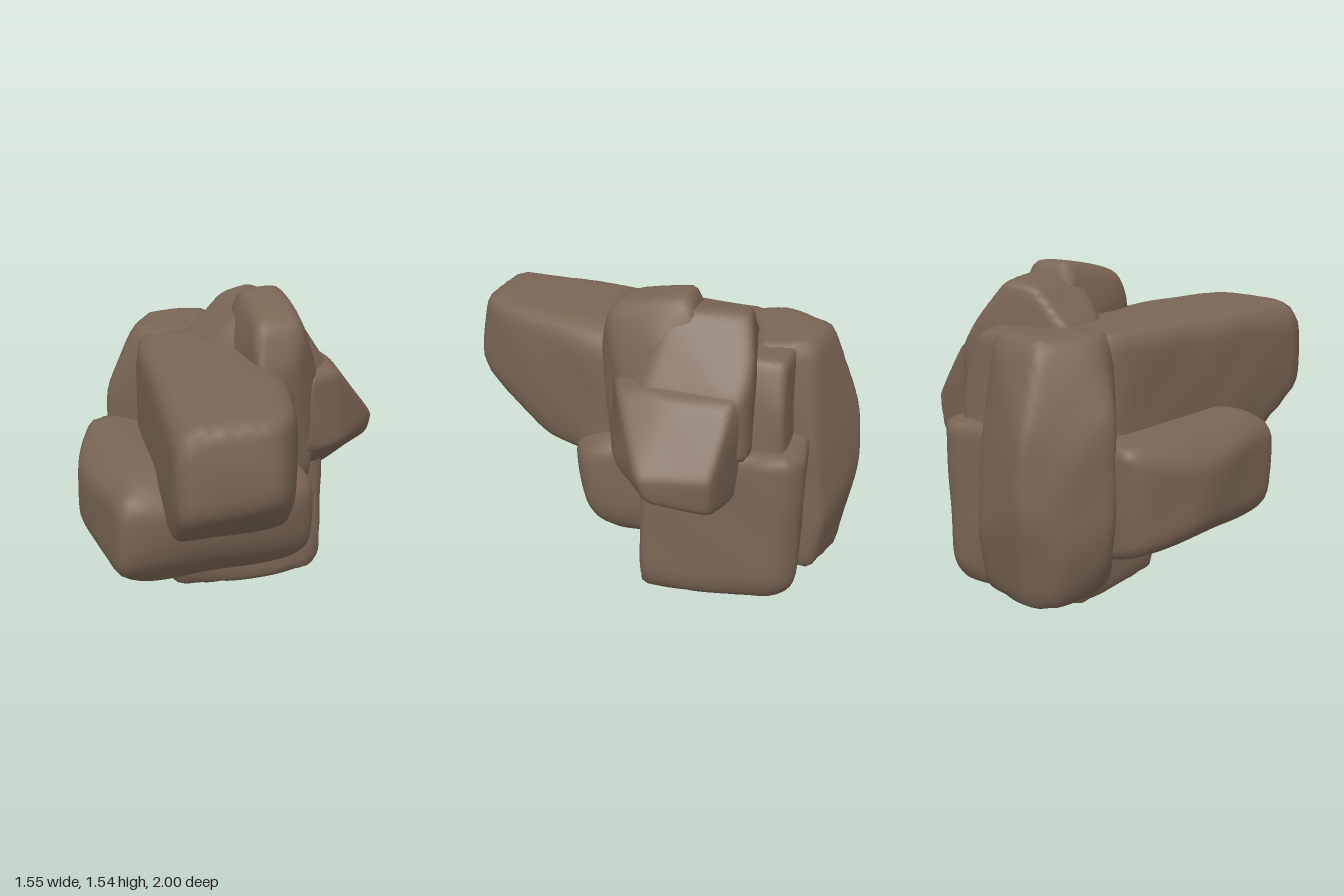
import * as THREE from 'three';
import { mergeVertices } from 'three/addons/utils/BufferGeometryUtils.js';
import { ConvexGeometry } from 'three/addons/geometries/ConvexGeometry.js';

const stone = new THREE.MeshStandardMaterial({ color: 0x7b6655 });
stone.name = 'brownStone';

// Distinct face planes of the convex hull around the points, seen from centre
function hullPlanes(points, centre) {
  const pos = new ConvexGeometry(points).getAttribute('position');
  const planes = [];
  const a = new THREE.Vector3(), b = new THREE.Vector3(), c = new THREE.Vector3();
  for (let i = 0; i < pos.count; i += 3) {
    a.fromBufferAttribute(pos, i);
    b.fromBufferAttribute(pos, i + 1);
    c.fromBufferAttribute(pos, i + 2);
    const n = b.clone().sub(a).cross(c.clone().sub(a));
    if (n.length() < 1e-6) continue;
    n.normalize();
    const h = n.dot(a) - n.dot(centre);
    if (h > 1e-4 && !planes.some(p => p.n.dot(n) > 0.985)) planes.push({ n, h });
  }
  return planes;
}

// Weathered boulder: a sphere pressed softly against the hull planes
function boulder(name, corners, sharpness = 22) {
  const points = corners.map(p => new THREE.Vector3(...p));
  const centre = new THREE.Box3().setFromPoints(points).getCenter(new THREE.Vector3());
  const planes = hullPlanes(points, centre);
  let geo = new THREE.IcosahedronGeometry(1, 18);
  geo.deleteAttribute('uv');
  geo.deleteAttribute('normal');
  geo = mergeVertices(geo, 1e-4);
  const pos = geo.getAttribute('position');
  const d = new THREE.Vector3();
  for (let i = 0; i < pos.count; i++) {
    d.fromBufferAttribute(pos, i).normalize();
    let sum = 0;
    for (const { n, h } of planes) sum += Math.pow(Math.max(0, n.dot(d) / h), sharpness);
    d.multiplyScalar(Math.pow(sum, -1 / sharpness)).add(centre);
    // gentle dents in the surface
    const dent = 0.005 * Math.sin(11 * d.x + 6 * d.y) * Math.sin(10 * d.z - 8 * d.y + 1);
    d.addScaledVector(d.clone().sub(centre).normalize(), dent);
    pos.setXYZ(i, d.x, Math.max(0, d.y), d.z);
  }
  geo.computeVertexNormals();
  const mesh = new THREE.Mesh(geo, stone);
  mesh.name = name;
  return mesh;
}

export function createModel() {
  const group = new THREE.Group();
  group.name = 'rockPile';
  group.add(
    // long slab jutting out to the front
    boulder('overhangingSlab', [
      [-0.59, 1.27, 0.9], [-0.67, 1.18, 0.91], [-0.2, 1.27, 0.985], [-0.06, 1.26, 0.86],
      [0.04, 1.27, 0.42], [0.13, 1.18, 0.36], [0.08, 1.27, 0], [0.18, 1.18, 0],
      [-0.67, 0.84, 0.92], [-0.19, 1.1, 1.03], [-0.19, 0.86, 1.015], [-0.07, 0.8, 0.88], [0.14, 0.75, 0.36],
      [-0.58, 0.59, 0.62], [0.0, 0.57, 0.62], [0.17, 0.59, 0.3],
      [-0.38, 1.23, -0.5], [0.2, 1.23, -0.5], [-0.4, 0.58, -0.45], [0.2, 0.58, -0.45],
    ]),
    // wide block under the slab
    boulder('lowerBlock', [
      [-0.775, 0.72, 0.42], [-0.775, 0.36, 0.39], [-0.64, 0.82, 0.3], [-0.6, 0.45, 0.45],
      [-0.6, 0.2, 0.25], [0.2, 0.18, 0.2], [0.27, 0.27, 0.34], [0.28, 0.66, 0.35],
      [0.27, 0.7, 0.15], [0.16, 0.77, 0.22], [0.2, 0.5, 0.43], [0.14, 0.66, 0.44],
      [-0.775, 0.66, -0.36], [-0.775, 0.35, -0.32], [-0.61, 0.78, -0.65], [-0.6, 0.25, -0.62],
      [-0.4, 0.78, -0.67], [0.2, 0.75, -0.4], [0.2, 0.2, -0.4], [-0.4, 0.2, -0.62],
    ]),
    // squared block on the ground, with worn corners
    boulder('baseBlock', [
      [-0.32, 0, -0.06], [-0.1, 0, 0.01], [0.42, 0, 0.02], [0.465, 0.06, 0.02], [-0.33, 0.25, 0.02],
      [-0.33, 0.8, 0.02], [0.465, 0.8, 0.02], [-0.33, 0, -0.72], [0.34, 0, -0.71], [0.43, 0, -0.6],
      [0.38, 0.08, -0.755], [0.465, 0.08, -0.66], [-0.33, 0.82, -0.755], [0.41, 0.82, -0.76], [0.465, 0.82, -0.69],
    ], 34),
    // upright stone at the back
    boulder('backStone', [
      [-0.36, 1.275, -0.6], [-0.2, 1.28, -0.84], [0.1, 1.28, -0.78], [0.16, 1.27, -0.5], [-0.3, 1.275, -0.4],
      [-0.5, 0.95, -0.66], [-0.2, 0.84, -0.995], [0.18, 0.85, -0.79], [-0.5, 0.4, -0.66],
      [-0.36, 0.6, -0.87], [-0.2, 0.5, -1.01], [0.16, 0.45, -0.81], [-0.45, 0.17, -0.64],
      [-0.34, 0.02, -0.68], [-0.3, 0.03, -0.84], [-0.16, 0.03, -0.91], [0.12, 0.03, -0.82],
      [-0.28, 0, -0.35], [0.1, 0.02, -0.4],
    ], 28),
    // narrow stone wedged behind the peak
    boulder('rearShoulder', [
      [-0.1, 1.28, -0.3], [0.3, 1.26, -0.3], [0.28, 1.25, -0.66], [0.05, 1.26, -0.7],
      [0.38, 1.0, -0.66], [0.38, 0.6, -0.69], [-0.1, 0.6, -0.69], [0.4, 0.6, -0.3], [-0.1, 0.6, -0.3],
    ]),
    // peak, front part, reaching down beside the slab
    boulder('peakStone', [
      [0.07, 1.54, -0.2], [0.29, 1.54, -0.2], [0.08, 1.53, 0.0], [0.27, 1.53, 0.0],
      [0.02, 1.46, 0.18], [0.25, 1.44, 0.21], [0.0, 1.27, 0.26], [0.2, 1.25, 0.26],
      [0.38, 1.36, -0.05], [0.38, 1.1, 0.12], [0.03, 0.65, 0.22], [0.32, 0.65, 0.18],
      [0.36, 0.5, 0.03], [0.05, 0.48, 0.05], [0.0, 1.2, -0.3], [0.39, 1.2, -0.3],
      [0.36, 0.5, -0.3], [0.02, 0.5, -0.3],
    ], 28),
    // peak, rear part, sloping down to the side stone
    boulder('peakRidge', [
      [0.08, 1.46, -0.1], [0.3, 1.49, -0.1], [0.08, 1.45, -0.46], [0.27, 1.45, -0.49],
      [-0.12, 1.26, -0.2], [0.42, 1.28, -0.08], [-0.1, 1.26, -0.48], [0.41, 1.27, -0.53],
      [0.32, 1.16, 0.14], [0.5, 1.12, 0.0], [0.53, 1.13, -0.48], [0.1, 1.2, 0.1],
      [0.0, 0.8, -0.1], [0.32, 0.8, 0.12], [0.5, 0.8, 0.0], [0.0, 0.8, -0.52], [0.5, 0.8, -0.52],
    ], 26),
    // pointed stone on the left side
    boulder('sideStone', [
      [0.4, 1.2, -0.15], [0.38, 1.2, -0.5], [0.56, 1.13, -0.12], [0.55, 1.13, -0.45],
      [0.3, 1.14, 0.17], [0.5, 1.13, 0.11], [0.3, 0.74, 0.18], [0.52, 0.75, 0.13],
      [0.64, 0.97, 0.0], [0.775, 0.82, -0.04], [0.765, 0.82, -0.38], [0.77, 0.7, -0.08], [0.73, 0.64, -0.37],
      [0.46, 0.56, -0.06], [0.46, 0.58, -0.45], [0.3, 0.6, -0.05], [0.3, 0.62, -0.5], [0.42, 1.1, -0.52],
    ], 30),
  );
  return group;
}
